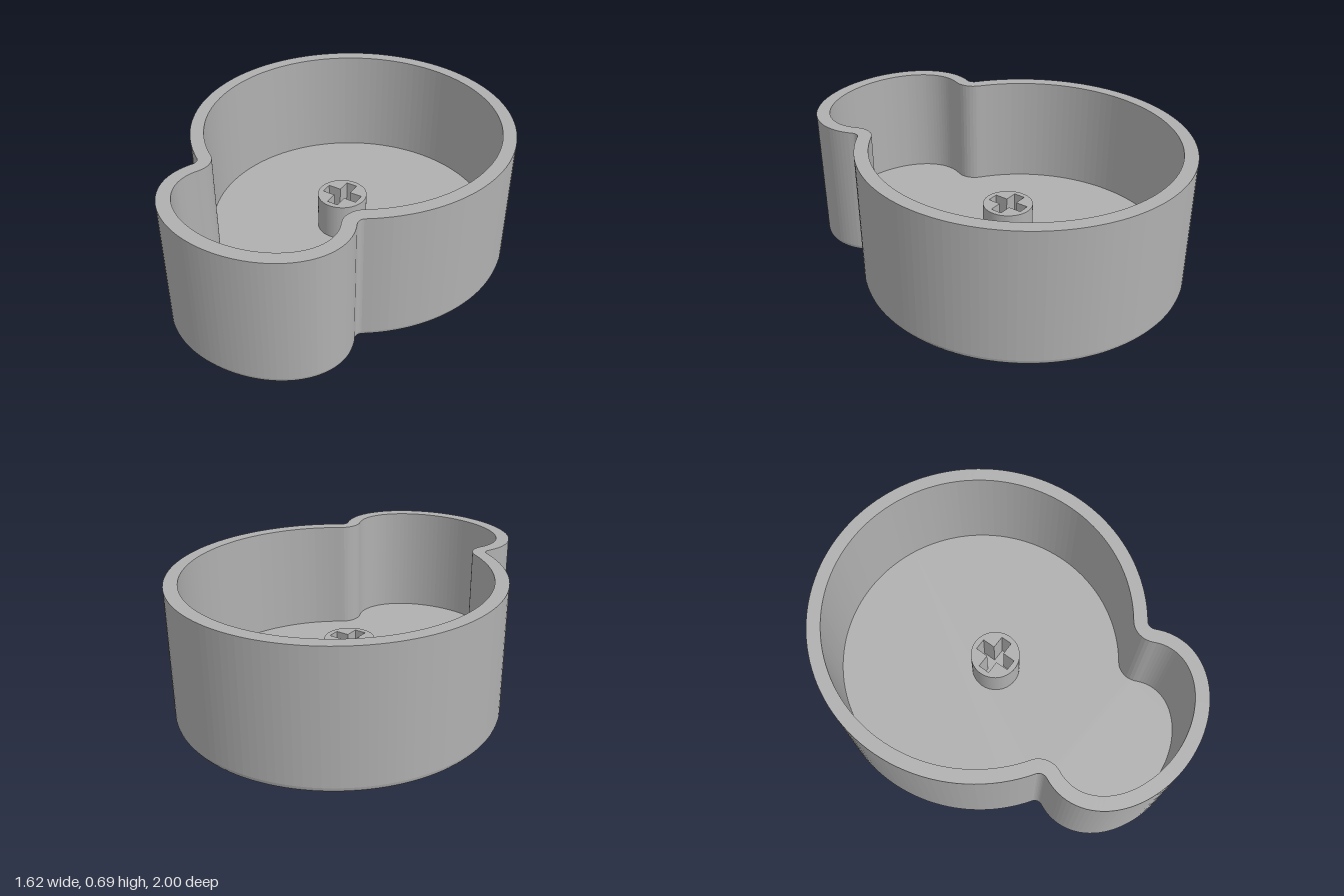
import * as THREE from 'three';

const HEIGHT = 0.685, FLOOR = 0.115, WALL = 0.067, ROUND = 0.03;

// Keyhole outline: round back, small concave neck, elliptical front lobe.
// Each sample holds a position and its outward normal in plan (x, z).
function makeOutline() {
  const half = [];
  const run = (from, to, n, fn) => {
    for (let i = half.length ? 1 : 0; i <= n; i++) half.push(fn(from + (to - from) * i / n));
  };
  run(0, 2.5446, 52, a => {
    const nx = Math.sin(a), nz = -Math.cos(a);
    return { x: 0.81 * nx, z: -0.19 + 0.81 * nz, nx, nz };
  });
  run(-2.168, -3.597, 8, a => {
    const ux = Math.cos(a), uz = Math.sin(a);
    return { x: 0.4775 + 0.04 * ux, z: 0.5125 + 0.04 * uz, nx: -ux, nz: -uz };
  });
  run(-0.35, Math.PI / 2, 30, t => {
    const ex = Math.cos(t) / 0.47, ez = Math.sin(t) / 0.35, l = Math.hypot(ex, ez);
    return { x: 0.47 * Math.cos(t), z: 0.65 + 0.35 * Math.sin(t), nx: ex / l, nz: ez / l };
  });
  const other = half.slice(1, -1).reverse().map(p => ({ x: -p.x, z: p.z, nx: -p.nx, nz: p.nz }));
  return [...half, ...other];
}

const inset = (outline, d) => outline.map(p => new THREE.Vector2(p.x - p.nx * d, p.z - p.nz * d));

// Skin between successive rings given as [inset, height]
function skin(outline, profile) {
  const rings = profile.map(([d, y]) => inset(outline, d).map(p => [p.x, y, p.y]));
  const pos = [], n = outline.length;
  for (let k = 0; k < rings.length - 1; k++) {
    for (let i = 0; i < n; i++) {
      const j = (i + 1) % n;
      const a = rings[k][j], b = rings[k][i], c = rings[k + 1][i], d = rings[k + 1][j];
      pos.push(...a, ...b, ...c, ...a, ...c, ...d);
    }
  }
  const g = new THREE.BufferGeometry();
  g.setAttribute('position', new THREE.Float32BufferAttribute(pos, 3));
  g.computeVertexNormals();
  return g;
}

// Flat plate filling the outline, facing up (1) or down (-1)
function plate(outline, d, y, facing) {
  const pts = inset(outline, d).map(p => new THREE.Vector2(p.x, -facing * p.y));
  return new THREE.ShapeGeometry(new THREE.Shape(pts)).rotateX(-facing * Math.PI / 2).translate(0, y, 0);
}

export function createModel() {
  const group = new THREE.Group();
  const grey = new THREE.MeshStandardMaterial({ color: 0xb0b0b0, flatShading: true });
  grey.name = 'grey';
  const add = (name, geometry) => {
    const mesh = new THREE.Mesh(geometry, grey);
    mesh.name = name;
    group.add(mesh);
  };
  const outline = makeOutline();

  // Wall: rounded foot, outer side, rim, inner side
  const profile = [];
  for (let i = 0; i <= 4; i++) {
    const a = i / 4 * Math.PI / 2;
    profile.push([ROUND * (1 - Math.sin(a)), ROUND * (1 - Math.cos(a))]);
  }
  profile.push([0, HEIGHT], [WALL, HEIGHT], [WALL, FLOOR]);
  add('wall', skin(outline, profile));
  add('floor', plate(outline, WALL, FLOOR, 1));
  add('underside', plate(outline, ROUND, 0, -1));

  // Round post with a cross-shaped socket
  const post = new THREE.Shape().absarc(0, 0, 0.126, 0, Math.PI * 2);
  const s = 0.03, l = 0.098;
  const corner = [[l, -s], [l, s], [s, s]];
  const cross = [];
  for (let q = 0; q < 4; q++) {
    for (const [x, y] of corner) {
      cross.push(new THREE.Vector2(x, y).rotateAround(new THREE.Vector2(), q * Math.PI / 2));
    }
  }
  post.holes.push(new THREE.Path(cross));
  const postGeometry = new THREE.ExtrudeGeometry(post, { depth: 0.195, bevelEnabled: false, curveSegments: 48 });
  add('socketPost', postGeometry.rotateX(-Math.PI / 2).translate(0, FLOOR, -0.09));

  return group;
}
